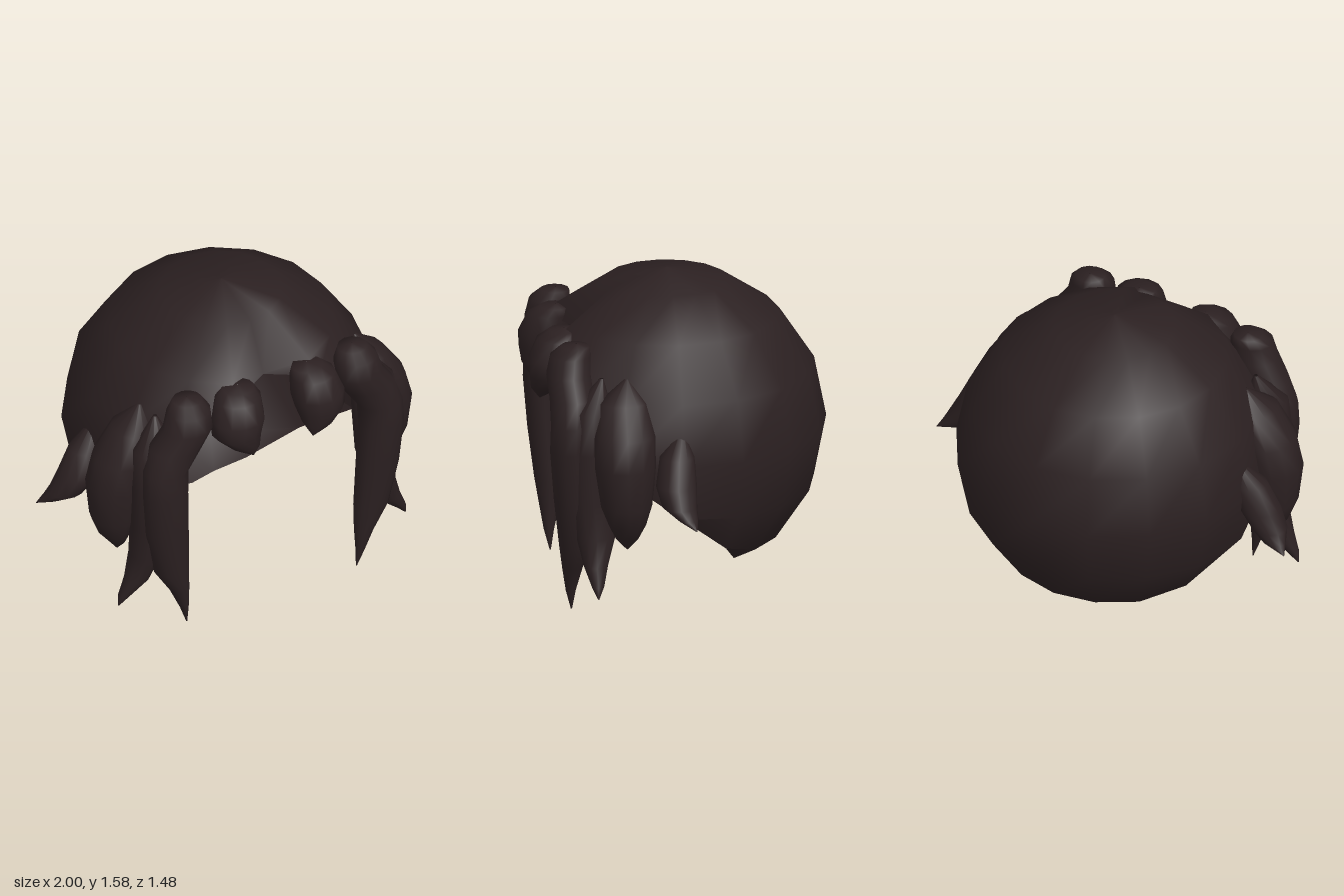
import * as THREE from 'three';

const RAD = Math.PI / 180;

// Builds an indexed smooth geometry from a grid of points closed around each ring
function skin(rows, flip) {
  const n = rows[0].length, pos = [], idx = [];
  rows.forEach(r => r.forEach(p => pos.push(...p)));
  const same = (a, b) => [0, 1, 2].every(k => Math.abs(pos[a * 3 + k] - pos[b * 3 + k]) < 1e-6);
  const tri = (a, b, c) => {
    if (same(a, b) || same(b, c) || same(a, c)) return;
    if (flip) idx.push(a, c, b); else idx.push(a, b, c);
  };
  for (let i = 0; i < rows.length - 1; i++) {
    for (let j = 0; j < n; j++) {
      const a = i * n + j, b = i * n + (j + 1) % n, c = a + n, d = b + n;
      tri(a, c, b);
      tri(b, c, d);
    }
  }
  const g = new THREE.BufferGeometry();
  g.setAttribute('position', new THREE.Float32BufferAttribute(pos, 3));
  g.setIndex(idx);
  g.computeVertexNormals();
  return g;
}

// Spherical cap cut off along a rim that is high at the face and low at the nape
function capGeometry() {
  // [polar angle, radius] of the rim for every 22.5 degrees from front to back;
  // the parting dips inward at the middle of the forehead
  const rim = [[41.6, 0.65], [52, 0.78], [68, 0.78], [95, 0.78], [111, 0.78],
    [129, 0.775], [146, 0.75], [152.5, 0.74], [156, 0.735]];
  const rows = [];
  for (let i = 0; i <= 7; i++) {
    const row = [];
    for (let j = 0; j < 16; j++) {
      const [end, endRadius] = rim[j <= 8 ? j : 16 - j], az = j * 22.5 * RAD;
      const polar = Math.min(i * 22.5, end), r = polar === end ? endRadius : 0.78;
      const s = r * Math.sin(polar * RAD);
      row.push([s * Math.sin(az), 0.795 + r * Math.cos(polar * RAD), 0.04 + s * Math.cos(az)]);
    }
    rows.push(row);
  }
  return skin(rows, false);
}

// Lock of hair: sections are [y, x, z, half width, half depth], from root to tip
function lockGeometry(sections, side, yaw) {
  const c = Math.cos(yaw), s = Math.sin(yaw);
  const rows = sections.map(([y, x, z, w, d]) => {
    const row = [];
    for (let j = 0; j < 12; j++) {
      const a = j / 12 * Math.PI * 2, u = w * Math.sin(a), v = d * Math.cos(a);
      row.push([side * (x + u * c + v * s), y, z - u * s + v * c]);
    }
    return row;
  });
  return skin(rows, side < 0);
}

const locks = {
  fringeCurl: { yaw: 0.15, sections: [
    [1.345, 0.19, 0.56, 0.003, 0.003], [1.335, 0.19, 0.565, 0.08, 0.07], [1.3, 0.205, 0.59, 0.115, 0.105],
    [1.2, 0.22, 0.615, 0.135, 0.125], [1.12, 0.23, 0.62, 0.125, 0.115], [1.05, 0.2, 0.65, 0.075, 0.075],
    [0.985, 0.165, 0.675, 0.004, 0.004]] },
  longFrontLock: { yaw: 0.1, sections: [
    [1.345, 0.455, 0.53, 0.003, 0.003], [1.335, 0.455, 0.535, 0.075, 0.07], [1.29, 0.46, 0.56, 0.11, 0.1],
    [1.2, 0.47, 0.57, 0.125, 0.11], [1.1, 0.53, 0.56, 0.135, 0.11], [0.98, 0.59, 0.565, 0.115, 0.105],
    [0.85, 0.595, 0.57, 0.115, 0.105], [0.6, 0.58, 0.56, 0.11, 0.095], [0.35, 0.55, 0.55, 0.09, 0.075],
    [0.22, 0.51, 0.555, 0.05, 0.05], [0.1, 0.485, 0.56, 0.022, 0.025], [0, 0.468, 0.555, 0.003, 0.003]] },
  forkedLock: { yaw: 0, sections: [
    [1.2, 0.57, 0.42, 0.01, 0.01], [1.05, 0.6, 0.47, 0.11, 0.1], [0.85, 0.61, 0.48, 0.115, 0.11],
    [0.6, 0.62, 0.47, 0.1, 0.11], [0.42, 0.645, 0.455, 0.075, 0.095], [0.29, 0.69, 0.46, 0.065, 0.06],
    [0.2, 0.76, 0.457, 0.03, 0.03], [0.145, 0.79, 0.457, 0.003, 0.003]] },
  sideLock: { yaw: 0, sections: [
    [1.2, 0.59, 0.3, 0.01, 0.01], [1.1, 0.64, 0.32, 0.1, 0.12], [0.95, 0.71, 0.32, 0.13, 0.15],
    [0.8, 0.74, 0.32, 0.14, 0.15], [0.6, 0.735, 0.315, 0.125, 0.125], [0.5, 0.735, 0.31, 0.085, 0.09],
    [0.43, 0.725, 0.31, 0.04, 0.055], [0.375, 0.72, 0.31, 0.003, 0.003]] },
  flickedLock: { yaw: 0, sections: [
    [0.98, 0.69, 0.04, 0.01, 0.01], [0.85, 0.75, 0.07, 0.1, 0.085], [0.72, 0.81, 0.08, 0.105, 0.1],
    [0.63, 0.87, 0.07, 0.09, 0.085], [0.58, 0.92, 0.035, 0.06, 0.05], [0.54, 0.998, 0, 0.002, 0.002]] },
};

export function createModel() {
  const group = new THREE.Group();
  group.name = 'hair';
  const hair = new THREE.MeshStandardMaterial({ color: 0x2b2021, side: THREE.DoubleSide });
  hair.name = 'dark brown hair';
  const add = (name, geometry) => {
    const mesh = new THREE.Mesh(geometry, hair);
    mesh.name = name;
    group.add(mesh);
  };

  add('hairCap', capGeometry());
  // mirrored locks framing the face
  for (const [name, { sections, yaw }] of Object.entries(locks)) {
    add(name + 'Left', lockGeometry(sections, 1, yaw));
    add(name + 'Right', lockGeometry(sections, -1, yaw));
  }
  return group;
}
